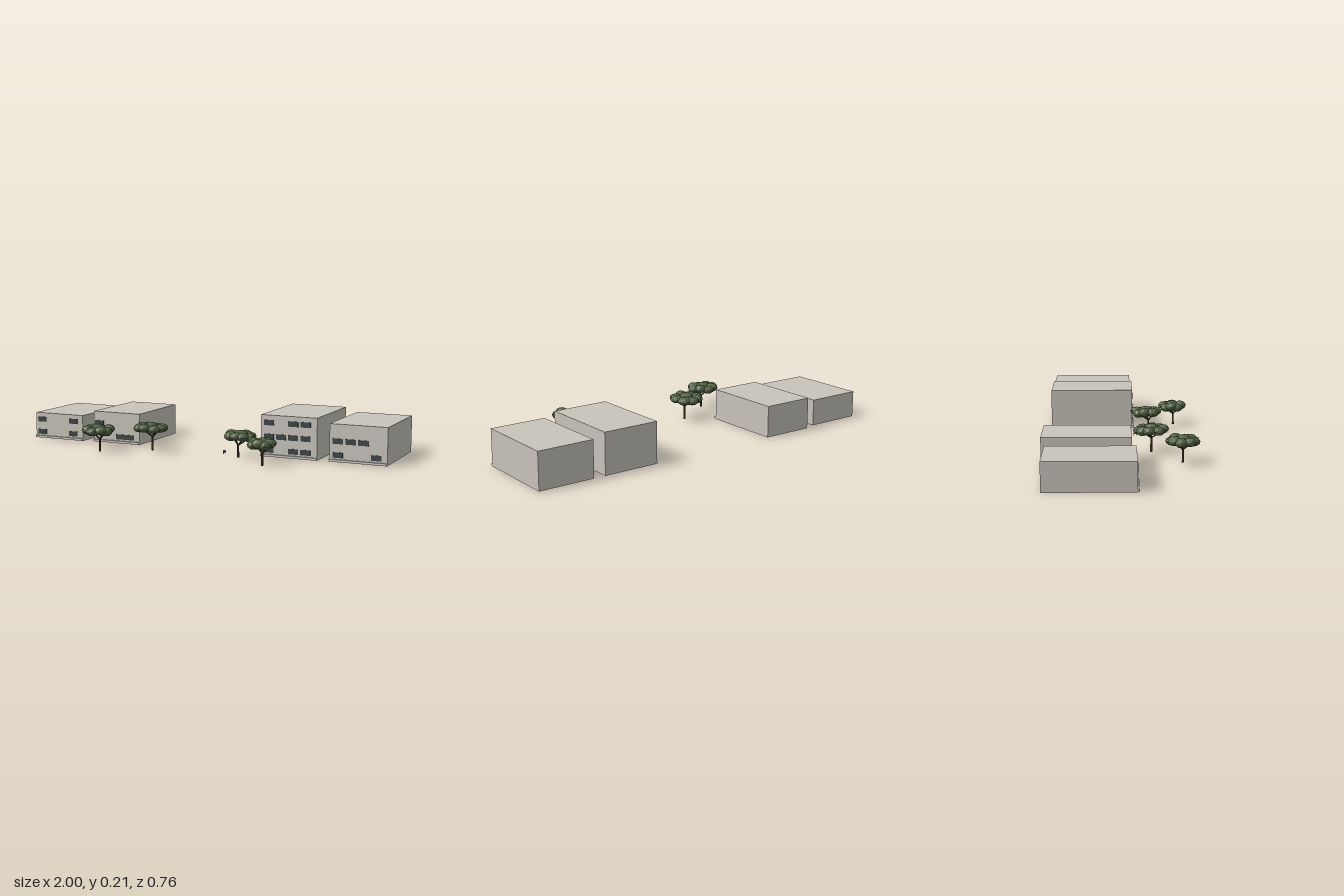
import * as THREE from 'three';

const material = (name, color) => {
  const m = new THREE.MeshStandardMaterial({ color });
  m.name = name;
  return m;
};

export function createModel() {
  const root = new THREE.Group();
  root.name = 'streetBlock';
  const wall = material('wallConcrete', 0xc8c4bb);
  const glass = material('windowGlass', 0x3d4446);
  const bark = material('bark', 0x4b3627);
  const leaf = material('foliage', 0x536346);
  const rust = material('rustLeaf', 0x9a4f2c);
  const metal = material('benchMetal', 0x55585c);
  leaf.flatShading = rust.flatShading = true;

  // small seeded generator for irregular foliage
  let seed = 7;
  const rand = () => (seed = (seed * 16807) % 2147483647) / 2147483647;

  const add = (parent, name, geometry, mat, x, y, z) => {
    const mesh = new THREE.Mesh(geometry, mat);
    mesh.name = name;
    mesh.position.set(x, y, z);
    parent.add(mesh);
    return mesh;
  };
  const box = (parent, name, mat, w, h, d, x, y, z) =>
    add(parent, name, new THREE.BoxGeometry(w, h, d), mat, x, y, z);

  // tapered round limb between two points
  const limb = (parent, name, a, b, r0, r1) => {
    const dir = b.clone().sub(a);
    const mid = a.clone().add(b).multiplyScalar(0.5);
    const mesh = add(parent, name, new THREE.CylinderGeometry(r1, r0, dir.length(), 7), bark, mid.x, mid.y, mid.z);
    mesh.quaternion.setFromUnitVectors(new THREE.Vector3(0, 1, 0), dir.normalize());
  };

  // buildings: plain blocks with a front plinth; rows hold [height, window centres]
  const buildings = [
    { x0: -1, x1: -0.7, h: 0.14, back: -0.365, front: 0.06,
      rows: [[0.035, [-0.96, -0.76]], [0.104, [-0.96, -0.76]]] },
    { x0: -0.64, x1: -0.36, h: 0.166, back: -0.385, front: 0.04,
      rows: [[0.035, [-0.475, -0.42]], [0.104, [-0.605]]] },
    { x0: 0.347, x1: 0.645, h: 0.212, back: -0.385, front: 0.059,
      rows: [[0.035, [0.39, 0.52, 0.585]], [0.104, [0.39, 0.455, 0.52, 0.585]], [0.174, [0.39, 0.52, 0.585]]] },
    { x0: 0.707, x1: 1, h: 0.189, back: -0.385, front: 0.051,
      rows: [[0.035, [0.75, 0.945]], [0.104, [0.75, 0.815, 0.88]]] },
  ];
  buildings.forEach(({ x0, x1, h, back, front, rows }) => {
    const g = new THREE.Group();
    g.name = 'building';
    root.add(g);
    const cx = (x0 + x1) / 2;
    box(g, 'walls', wall, x1 - x0, h, front - back, cx, h / 2, (front + back) / 2);
    box(g, 'plinth', wall, x1 - x0, 0.012, 0.01, cx, 0.008, front + 0.005);
    for (const [y, xs] of rows)
      for (const x of xs) box(g, 'window', glass, 0.053, 0.027, 0.003, x, y, front + 0.001);
  });

  // trees: forked trunk under a flat canopy of faceted clumps
  const trees = [
    { x: -0.455, z: 0.29, cx: -0.465, cz: 0.288, rx: 0.087, rz: 0.085, y: 0.11 },
    { x: -0.225, z: 0.145, cx: -0.235, cz: 0.143, rx: 0.093, rz: 0.09, y: 0.117 },
    { x: 0.26, z: 0.145, cx: 0.265, cz: 0.132, rx: 0.085, rz: 0.085, y: 0.108 },
    { x: 0.45, z: 0.29, cx: 0.445, cz: 0.283, rx: 0.073, rz: 0.078, y: 0.105 },
  ];
  trees.forEach((t) => {
    const g = new THREE.Group();
    g.name = 'tree';
    root.add(g);
    const fork = new THREE.Vector3(t.x, t.y - 0.045, t.z);
    limb(g, 'trunk', new THREE.Vector3(t.x, 0, t.z), fork, 0.006, 0.005);
    const clump = (x, y, z, r, hy) => {
      const m = add(g, 'canopyClump', new THREE.IcosahedronGeometry(1, 1), leaf, x, y, z);
      m.scale.set(r, hy, r);
      m.rotation.y = rand() * 6;
    };
    clump(t.cx, t.y + 0.006, t.cz, 0.04, 0.025);
    const n = 8;
    for (let i = 0; i < n; i++) {
      const a = ((i + rand() * 0.3) / n) * Math.PI * 2;
      const r = 0.03 + rand() * 0.007;
      const x = t.cx + Math.cos(a) * (t.rx - r);
      const z = t.cz + Math.sin(a) * (t.rz - r);
      clump(x, t.y + (rand() - 0.5) * 0.012, z, r, 0.021 + rand() * 0.004);
      if (i % 2 === 0) limb(g, 'branch', fork, new THREE.Vector3(x, t.y - 0.006, z), 0.004, 0.002);
    }
    // scattered rust-coloured leaves along the canopy rim
    for (let i = 0; i < 5; i++) {
      const a = rand() * Math.PI * 2;
      add(g, 'rustLeaf', new THREE.TetrahedronGeometry(0.005), rust,
        t.cx + Math.cos(a) * t.rx * 0.93, t.y - 0.006 + rand() * 0.015, t.cz + Math.sin(a) * t.rz * 0.93);
    }
  });

  // tiny street bench
  const bench = new THREE.Group();
  bench.name = 'bench';
  root.add(bench);
  box(bench, 'benchSeat', metal, 0.008, 0.003, 0.02, 0.152, 0.009, 0.073);
  box(bench, 'benchBack', metal, 0.002, 0.004, 0.02, 0.149, 0.015, 0.073);
  for (const z of [0.065, 0.081]) box(bench, 'benchLeg', metal, 0.006, 0.016, 0.002, 0.151, 0.008, z);

  return root;
}
